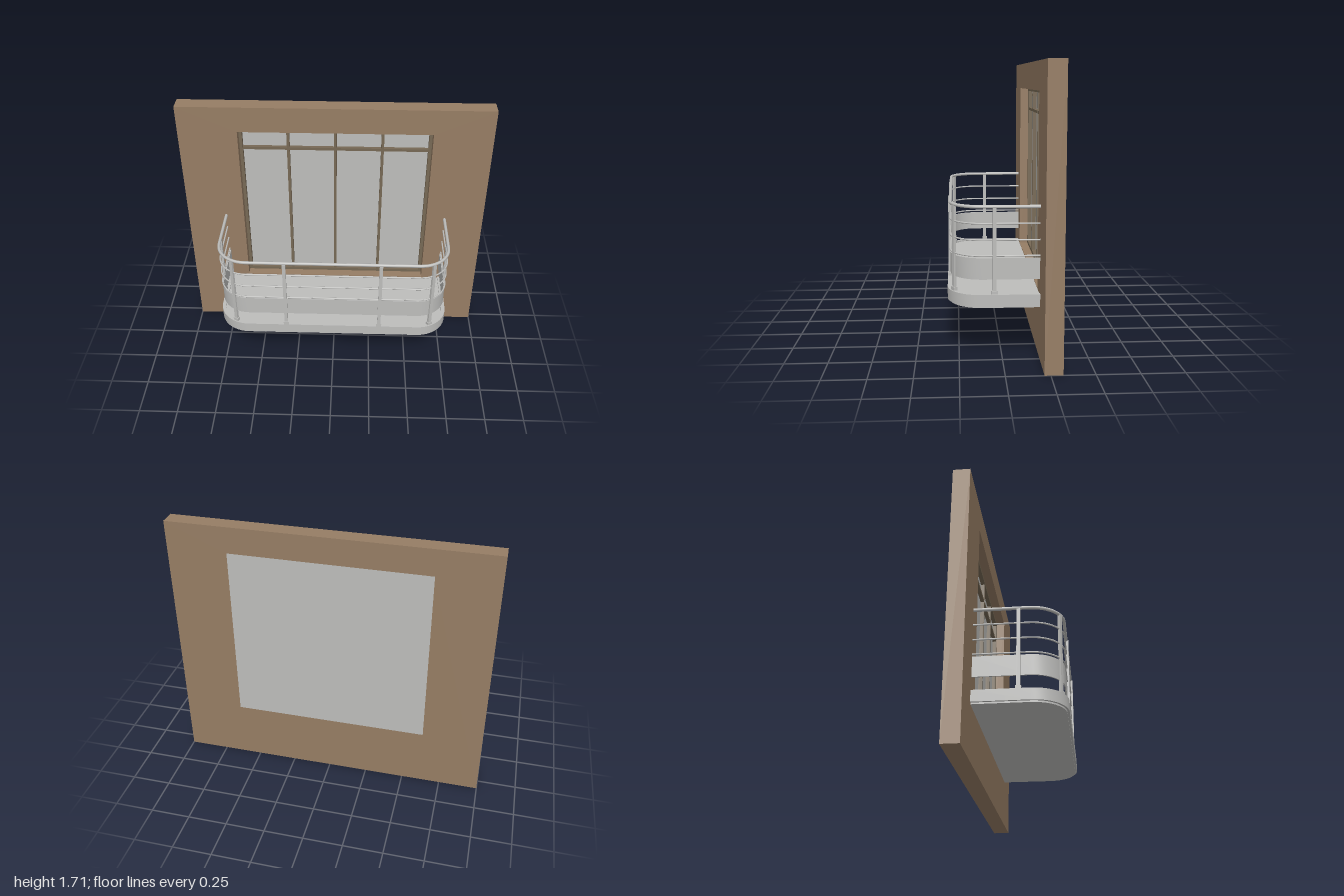
import * as THREE from 'three';
import { toCreasedNormals } from 'three/addons/utils/BufferGeometryUtils.js';

const WALL_BACK = -0.32, WALL_FRONT = -0.215;

// U-shaped outline (x, z) running from wall to wall around two rounded corners
function outline(halfWidth, front, radius, steps = 12) {
  const pts = [new THREE.Vector2(halfWidth, WALL_FRONT)];
  for (const side of [1, -1]) {
    for (let i = 0; i <= steps; i++) {
      const a = (side > 0 ? i / steps : 1 - i / steps) * Math.PI / 2;
      pts.push(new THREE.Vector2(
        side * (halfWidth - radius + radius * Math.cos(a)),
        front - radius + radius * Math.sin(a)));
    }
  }
  pts.push(new THREE.Vector2(-halfWidth, WALL_FRONT));
  return pts;
}

export function createModel() {
  const model = new THREE.Group();
  model.name = 'balcony';
  const material = (name, color) => {
    const m = new THREE.MeshStandardMaterial({ color });
    m.name = name;
    return m;
  };
  const wallBrown = material('wall brown', 0x967d64);
  const frameBrown = material('frame brown', 0x766854);
  const paleGrey = material('pale grey', 0xbdbdbb);

  const add = (name, geometry, mat, x = 0, y = 0, z = 0, parent = model) => {
    const mesh = new THREE.Mesh(geometry, mat);
    mesh.name = name;
    mesh.position.set(x, y, z);
    parent.add(mesh);
    return mesh;
  };
  const box = (name, mat, x0, x1, y0, y1, z0, z1, parent) =>
    add(name, new THREE.BoxGeometry(x1 - x0, y1 - y0, z1 - z0), mat,
      (x0 + x1) / 2, (y0 + y1) / 2, (z0 + z1) / 2, parent);
  // Horizontal slab between two heights
  const slab = (name, pts, y0, y1) => {
    const g = new THREE.ExtrudeGeometry(new THREE.Shape(pts), { depth: y1 - y0, bevelEnabled: false });
    g.rotateX(Math.PI / 2);
    return add(name, toCreasedNormals(g, 0.5), paleGrey, 0, y1, 0);
  };

  // Wall with the window opening
  const W = 0.62, Y0 = 0.385, Y1 = 1.54;
  const wallShape = new THREE.Shape([
    new THREE.Vector2(-1, 0), new THREE.Vector2(1, 0),
    new THREE.Vector2(1, 1.71), new THREE.Vector2(-1, 1.71)]);
  wallShape.holes.push(new THREE.Path([
    new THREE.Vector2(-W, Y0), new THREE.Vector2(-W, Y1),
    new THREE.Vector2(W, Y1), new THREE.Vector2(W, Y0)]));
  add('wall', new THREE.ExtrudeGeometry(wallShape,
    { depth: WALL_FRONT - WALL_BACK, bevelEnabled: false }), wallBrown, 0, 0, WALL_BACK);

  // Window pane, frame and glazing bars
  const win = new THREE.Group();
  win.name = 'window';
  model.add(win);
  box('windowPane', paleGrey, -W, W, Y0, Y1, WALL_BACK, -0.3, win);
  const zb = -0.3, zf = -0.272, t = 0.02;
  for (const s of [-1, 1]) {
    const x = s * (W - t / 2);
    box('frameSide', frameBrown, x - t / 2, x + t / 2, Y0, Y1, zb, zf, win);
  }
  box('frameTop', frameBrown, -W + t, W - t, Y1 - t, Y1, zb, zf, win);
  box('frameBottom', frameBrown, -W + t, W - t, Y0, Y0 + t, zb, zf, win);
  for (const x of [-0.305, 0, 0.305])
    box('mullion', frameBrown, x - 0.009, x + 0.009, Y0 + t, Y1 - t, zb, zf - 0.002, win);
  box('transom', frameBrown, -W + t, W - t, 1.382, 1.4, zb, zf - 0.004, win);

  // Balcony floor with a slightly raised rim
  slab('floorUnderside', outline(0.748, 0.303, 0.19), 0.31, 0.325);
  slab('floor', outline(0.737, 0.292, 0.178), 0.32, 0.38);
  slab('floorRim', [...outline(0.76, 0.315, 0.2), ...outline(0.735, 0.29, 0.176).reverse()], 0.32, 0.39);

  // Solid band along the railing
  slab('railingBand', [...outline(0.742, 0.296, 0.19), ...outline(0.734, 0.288, 0.182).reverse()], 0.475, 0.6);

  // Handrail and thin rails
  const railPts = outline(0.742, 0.296, 0.19);
  for (const [name, y, r] of [['handrail', 0.896, 0.01], ['thinRail', 0.8, 0.005],
    ['thinRail', 0.705, 0.005], ['thinRail', 0.613, 0.005]]) {
    const path = new THREE.CurvePath();
    for (let i = 1; i < railPts.length; i++) {
      const [a, b] = [railPts[i - 1], railPts[i]];
      path.add(new THREE.LineCurve3(new THREE.Vector3(a.x, y, a.y), new THREE.Vector3(b.x, y, b.y)));
    }
    add(name, new THREE.TubeGeometry(path, 140, r, 10, false), paleGrey);
  }

  // Flat posts with foot blocks, turned to follow the railing
  for (const s of [-1, 1]) {
    for (const [x, z, angle] of [[0.307, 0.302, 0], [0.642, 0.275, 0.5], [0.742, 0.045, Math.PI / 2]]) {
      const post = new THREE.Group();
      post.name = 'post';
      post.position.set(s * x, 0, z);
      post.rotation.y = s * angle;
      model.add(post);
      box('postBar', paleGrey, -0.011, 0.011, 0.38, 0.893, -0.008, 0.008, post);
      box('postFoot', paleGrey, -0.017, 0.017, 0.385, 0.41, -0.012, 0.012, post);
    }
  }
  return model;
}
